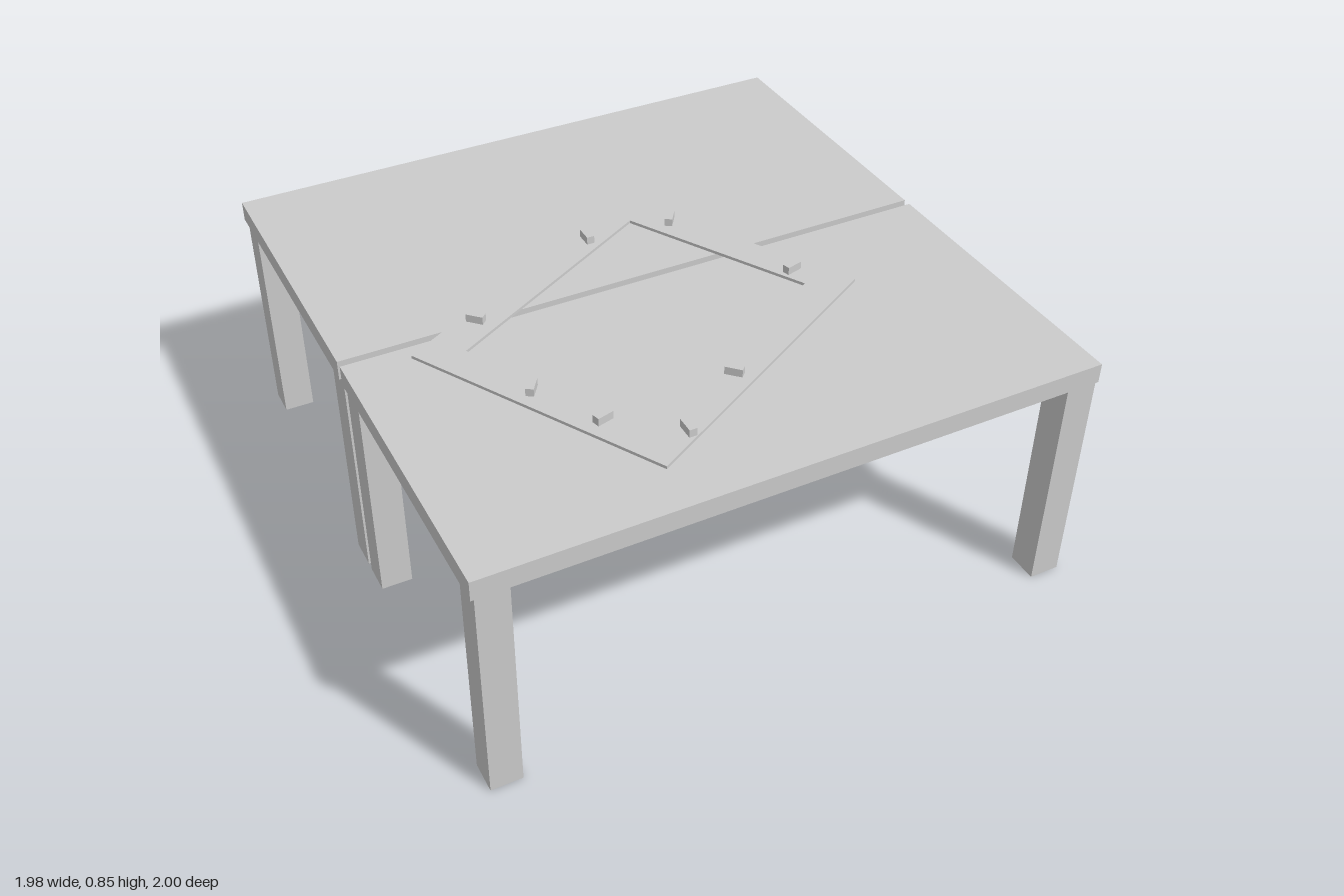
import * as THREE from 'three';

const material = new THREE.MeshStandardMaterial({ color: 0xcccccc });
const TOP = 0.812, UNDER = 0.747, FRAME_TOP = 0.822, BLOCK_TOP = 0.848;

function box(name, x0, x1, y0, y1, z0, z1) {
  const mesh = new THREE.Mesh(new THREE.BoxGeometry(x1 - x0, y1 - y0, z1 - z0), material);
  mesh.name = name;
  mesh.position.set((x0 + x1) / 2, (y0 + y1) / 2, (z0 + z1) / 2);
  return mesh;
}

// A table: slab top and four square legs
function table(name, zBack, zFront, legBack, legFront) {
  const g = new THREE.Group();
  g.name = name;
  g.add(box('tableTop', -0.99, 0.99, UNDER, TOP, zBack, zFront));
  for (const x of [-0.98, 0.88])
    for (const z of [legBack, legFront - 0.1])
      g.add(box('leg', x, x + 0.1, 0, UNDER, z, z + 0.1));
  return g;
}

function rectangle(path, w, d) {
  path.moveTo(-w / 2, -d / 2);
  path.lineTo(w / 2, -d / 2);
  path.lineTo(w / 2, d / 2);
  path.lineTo(-w / 2, d / 2);
  path.closePath();
  return path;
}

// Thin rectangular frame lying at an angle across both tables
function flatFrame() {
  const shape = rectangle(new THREE.Shape(), 1.07, 0.889);
  shape.holes.push(rectangle(new THREE.Path(), 0.856, 0.654));
  const geometry = new THREE.ExtrudeGeometry(shape, { depth: FRAME_TOP - TOP, bevelEnabled: false });
  geometry.rotateX(-Math.PI / 2);
  const mesh = new THREE.Mesh(geometry, material);
  mesh.name = 'flatFrame';
  mesh.position.set(-0.105, TOP, 0.191);
  mesh.rotation.y = THREE.MathUtils.degToRad(29.4);
  return mesh;
}

export function createModel() {
  const model = new THREE.Group();
  model.name = 'tablesWithFrame';
  model.add(table('frontTable', 0.01, 1, 0.017, 0.999));
  model.add(table('backTable', -1, -0.016, -0.994, -0.011));
  model.add(flatFrame());

  // Small blocks on the frame: x, z, turn in degrees
  const blocks = [
    [-0.066, -0.264, 90], [0.22, -0.24, 55], [-0.555, -0.01, -45], [-0.543, 0.375, 55],
    [-0.42, 0.587, 15], [-0.23, 0.735, 90], [0.01, 0.565, -45], [0.43, 0.184, 15],
  ];
  for (const [x, z, turn] of blocks) {
    const block = box('block', x - 0.0275, x + 0.0275, FRAME_TOP, BLOCK_TOP, z - 0.0125, z + 0.0125);
    block.rotation.y = THREE.MathUtils.degToRad(turn);
    model.add(block);
  }
  return model;
}
